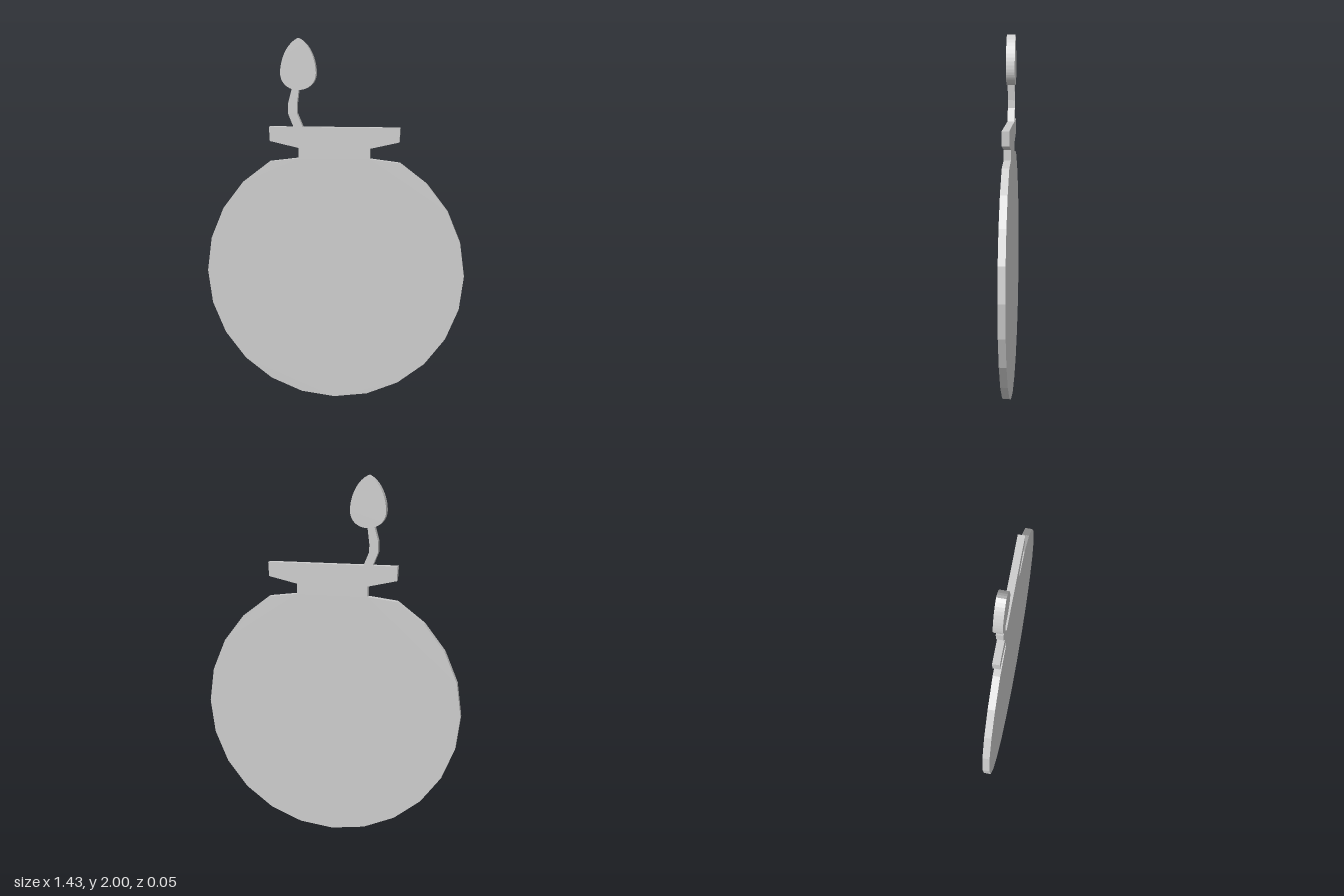
import * as THREE from 'three';

const grey = { color: 0xcccccc };

// Flat plate cut from a shape, centred on z = 0
function plate(name, shape, depth, flatShading, curveSegments = 8) {
  const geometry = new THREE.ExtrudeGeometry(shape, { depth, bevelEnabled: false, curveSegments });
  geometry.translate(0, 0, -depth / 2);
  const mesh = new THREE.Mesh(geometry, new THREE.MeshStandardMaterial({ ...grey, flatShading }));
  mesh.name = name;
  return mesh;
}

const polygon = (points) => new THREE.Shape(points.map(([x, y]) => new THREE.Vector2(x, y)));

export function createModel() {
  const model = new THREE.Group();
  model.name = 'flask';

  // Round flask body: 24-sided disc, open at the top where neck and lip rise
  const radius = 0.713, centreY = 0.717;
  const right = [];
  for (let i = 0; i <= 10; i++) {
    const a = (i * Math.PI) / 12;
    right.push([radius * Math.sin(a), centreY - radius * Math.cos(a)]);
  }
  right.push([0.195, 1.355], [0.195, 1.411], [0.353, 1.447], [0.357, 1.525]);
  const left = right.slice(1).reverse().map(([x, y]) => [-x, y]);
  model.add(plate('flaskBody', polygon([...right, ...left]), 0.039, true));

  // Bent stem growing from the lip into the leaf
  model.add(plate('stem', polygon([
    [-0.225, 1.515], [-0.172, 1.515], [-0.172, 1.525], [-0.202, 1.597], [-0.203, 1.64],
    [-0.191, 1.735], [-0.229, 1.735], [-0.25, 1.655], [-0.251, 1.597], [-0.222, 1.525],
  ]), 0.039, true));

  // Pointed leaf, slightly thicker than the flask
  const leaf = new THREE.Shape();
  leaf.moveTo(-0.195, 2.0);
  leaf.bezierCurveTo(-0.26, 1.97, -0.292, 1.88, -0.292, 1.815);
  leaf.bezierCurveTo(-0.292, 1.76, -0.25, 1.724, -0.195, 1.724);
  leaf.bezierCurveTo(-0.14, 1.724, -0.098, 1.76, -0.098, 1.815);
  leaf.bezierCurveTo(-0.098, 1.88, -0.13, 1.97, -0.195, 2.0);
  model.add(plate('leaf', leaf, 0.048, false, 10));

  return model;
}
